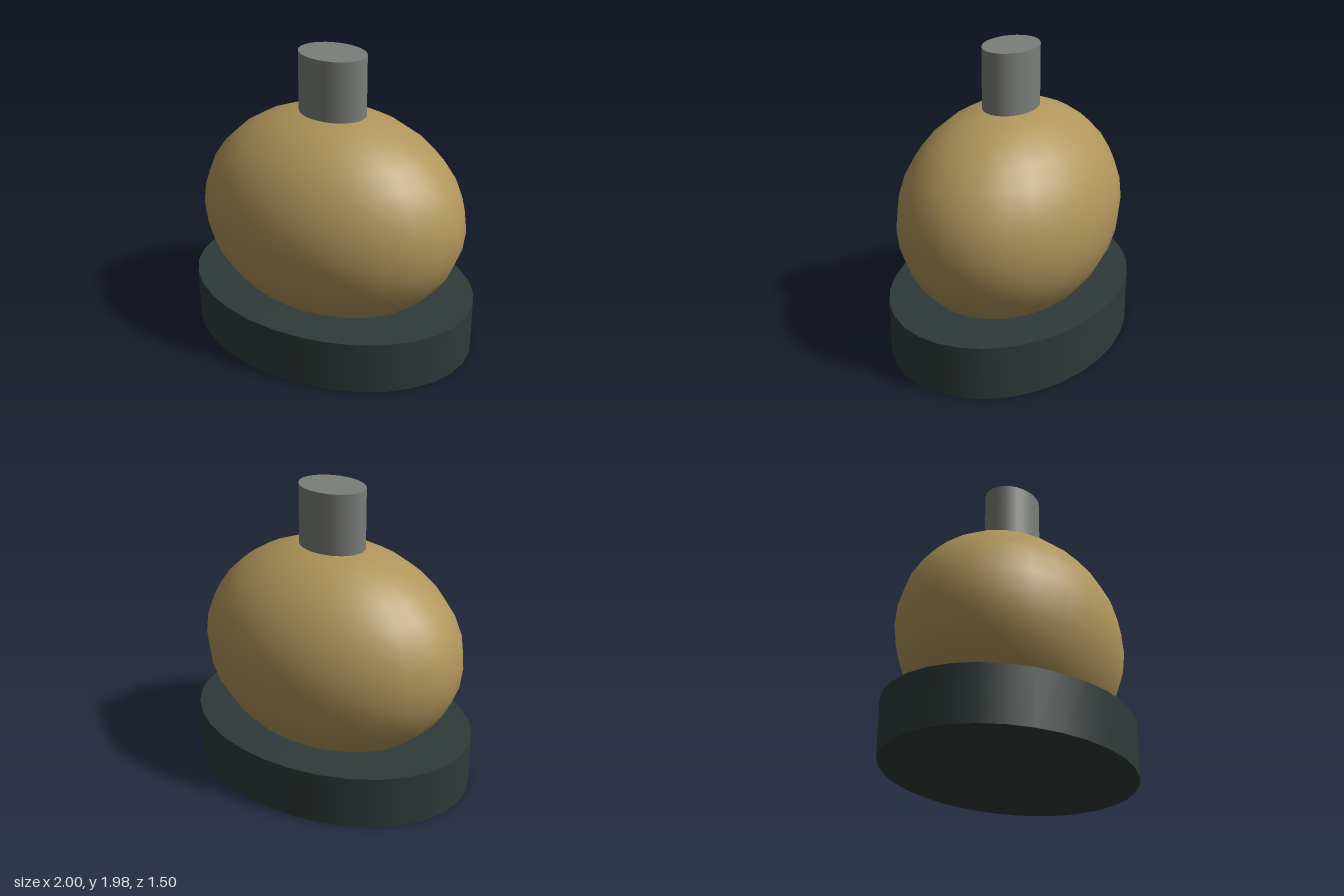
import * as THREE from 'three';

const DEPTH = 0.75; // every part is an oval, narrower front to back

export function createModel() {
  const model = new THREE.Group();
  const paint = (name, color) => {
    const material = new THREE.MeshStandardMaterial({ color });
    material.name = name;
    return material;
  };
  const dark = paint('dark slate', 0x303a39);
  const brass = paint('brass', 0xb0955a);
  const grey = paint('grey metal', 0x7b7e7a);

  const add = (name, geometry, material, y) => {
    const mesh = new THREE.Mesh(geometry, material);
    mesh.name = name;
    mesh.position.y = y;
    mesh.scale.z = DEPTH;
    model.add(mesh);
    return mesh;
  };

  // Oval plinth
  add('base', new THREE.CylinderGeometry(1, 1, 0.36, 32), dark, 0.18);

  // Squashed ball sunk into the plinth
  const ball = add('body', new THREE.SphereGeometry(0.92, 24, 16), brass, 0.88);
  ball.scale.y = 0.72 / 0.92;

  // Short oval stem on top
  add('stem', new THREE.CylinderGeometry(0.23, 0.23, 0.4, 32), grey, 1.78);

  return model;
}
